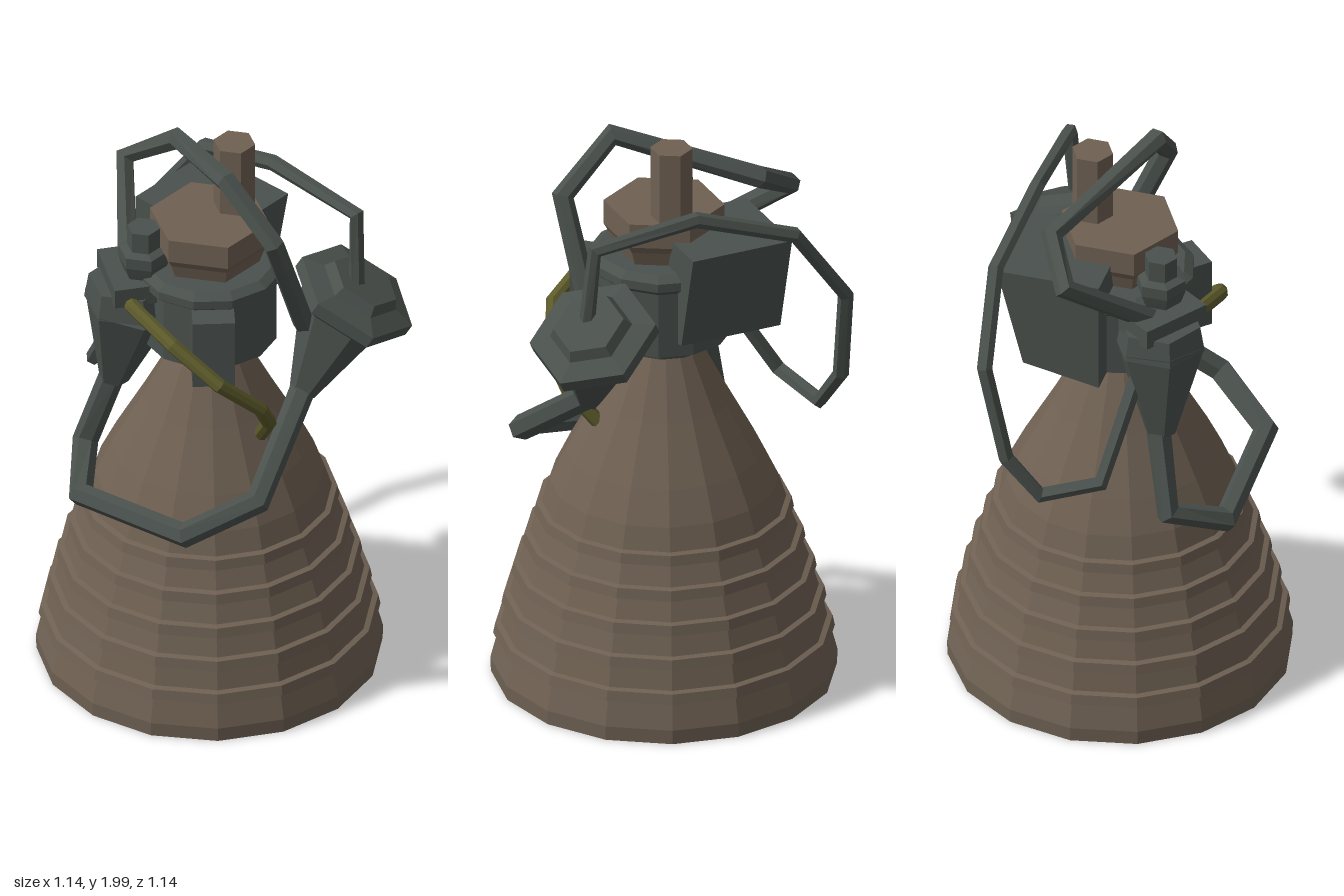
import * as THREE from 'three';

const V = (p) => new THREE.Vector3(...p);

// Polyline whose sampled rings sit exactly on its corners, mitred between legs
class Polyline extends THREE.Curve {
  constructor(points) {
    super();
    this.p = points.map(V);
  }
  getPoint(t) {
    const f = t * (this.p.length - 1);
    const i = Math.min(Math.floor(f + 1e-6), this.p.length - 2);
    return this.p[i].clone().lerp(this.p[i + 1], f - i);
  }
  getPointAt(t) { return this.getPoint(t); }
  getTangentAt(t) {
    const n = this.p.length - 1, i = Math.round(t * n), d = new THREE.Vector3();
    if (i > 0) d.add(this.p[i].clone().sub(this.p[i - 1]).normalize());
    if (i < n) d.add(this.p[i + 1].clone().sub(this.p[i]).normalize());
    return d.normalize();
  }
}

export function createModel() {
  const model = new THREE.Group();
  const material = (name, color) => {
    const m = new THREE.MeshStandardMaterial({ color, flatShading: true, side: THREE.DoubleSide });
    m.name = name;
    return m;
  };
  const brown = material('warm brown metal', 0x6f6153);
  const grey = material('dark grey metal', 0x4a514d);
  const olive = material('olive line', 0x5d5b2b);

  const add = (name, geometry, mat, pos = [0, 0, 0], parent = model) => {
    const mesh = new THREE.Mesh(geometry, mat);
    mesh.name = name;
    mesh.position.set(...pos);
    parent.add(mesh);
    return mesh;
  };
  const lathe = (profile, sides) =>
    new THREE.LatheGeometry(profile.map(([r, y]) => new THREE.Vector2(r, y)), sides);
  const pipe = (name, points, radius, mat, sides = 6) =>
    add(name, new THREE.TubeGeometry(new Polyline(points), points.length - 1, radius, sides), mat);
  // Tapered body between two points
  const taper = (name, from, to, r0, r1, sides) => {
    const a = V(from), d = V(to).sub(a);
    const mesh = add(name, new THREE.CylinderGeometry(r1, r0, d.length(), sides), grey);
    mesh.position.copy(a).addScaledVector(d, 0.5);
    mesh.quaternion.setFromUnitVectors(new THREE.Vector3(0, 1, 0), d.normalize());
    return mesh;
  };

  // Bell with five raised hoops
  const bell = [[0.57, 0], [0.572, 0.05]];
  [[0.55, 0.135], [0.522, 0.247], [0.49, 0.357], [0.453, 0.467], [0.415, 0.577]].forEach(([r, y]) => {
    bell.push([r, y], [r + 0.013, y + 0.005], [r + 0.006, y + 0.04], [r - 0.012, y + 0.045]);
  });
  bell.push([0.378, 0.7], [0.325, 0.81], [0.222, 1.0], [0.12, 1.2]);
  add('nozzle', lathe(bell, 16), brown);

  // Injector drum with collar and top ring
  add('drum', lathe([[0.12, 1.19], [0.16, 1.21], [0.165, 1.24], [0.225, 1.25], [0.225, 1.48],
    [0.25, 1.5], [0.25, 1.53], [0.22, 1.55], [0, 1.55]], 12), grey);

  // Hexagonal head and gimbal post
  add('head', lathe([[0.165, 1.54], [0.185, 1.6], [0.2, 1.625], [0.2, 1.71], [0, 1.71]], 6), brown);
  add('post', new THREE.CylinderGeometry(0.07, 0.07, 0.28, 6), brown, [0.02, 1.82, -0.1]);

  // Control housing with sloping back, profile in (-z, y)
  const side = new THREE.Shape(
    [[-0.02, 1.25], [0.24, 1.3], [0.33, 1.65], [-0.02, 1.65]].map(([u, y]) => new THREE.Vector2(u, y)));
  const housing = add('controlHousing',
    new THREE.ExtrudeGeometry(side, { depth: 0.36, bevelEnabled: false }), grey, [-0.31, 0, 0]);
  housing.rotation.y = Math.PI / 2;

  // Small box on the drum
  add('valveBox', new THREE.BoxGeometry(0.14, 0.25, 0.13), grey, [0.17, 1.36, 0.17]).rotation.y = Math.PI / 4;

  // Small pump
  taper('smallPumpCone', [-0.235, 1.06, 0.21], [-0.18, 1.38, 0.19], 0.05, 0.155, 6);
  taper('smallPumpShoulder', [-0.18, 1.38, 0.19], [-0.18, 1.47, 0.19], 0.155, 0.14, 6);
  add('smallPumpFlange', new THREE.BoxGeometry(0.25, 0.07, 0.15), grey, [-0.18, 1.485, 0.2]).rotation.y = -0.6;
  add('smallPumpNut', lathe([[0.06, 1.5], [0.075, 1.54], [0.085, 1.57], [0.085, 1.61], [0.055, 1.62],
    [0.055, 1.695], [0, 1.695]], 6), grey, [-0.13, 0, 0.18]);

  // Large tilted pump: flanged hexagonal cap on a tapering neck
  const cap = new THREE.Group();
  cap.name = 'largePumpCap';
  cap.position.set(0.385, 1.42, -0.28);
  cap.quaternion.setFromUnitVectors(new THREE.Vector3(0, 1, 0), V([0.42, 0.86, -0.28]).normalize());
  model.add(cap);
  add('capDisc', lathe([[0, -0.05], [0.17, -0.05], [0.215, -0.02], [0.215, 0.025], [0.14, 0.045],
    [0.12, 0.08], [0, 0.08]], 6), grey, [0, 0, 0], cap);
  taper('largePumpNeck', [0.32, 1.1, -0.1], [0.365, 1.38, -0.255], 0.045, 0.155, 6);

  // Pipework
  pipe('lowerDuct', [[-0.235, 1.1, 0.2], [-0.315, 0.8, 0.26], [-0.19, 0.72, 0.42], [0.27, 0.77, 0.42],
    [0.415, 0.87, 0.22], [0.32, 1.12, -0.11]], 0.043, grey);
  pipe('upperDuct', [[-0.2, 1.48, 0.18], [-0.43, 1.715, -0.06], [-0.28, 1.81, -0.15], [0.15, 1.955, 0.08],
    [0.34, 1.78, 0.06], [0.31, 1.36, -0.12]], 0.037, grey);
  pipe('sideLine', [[0.41, 1.46, -0.27], [0.39, 1.745, -0.29], [0.02, 1.78, -0.29], [-0.32, 1.67, -0.33],
    [-0.515, 1.4, -0.31], [-0.535, 1.07, -0.23], [-0.51, 0.925, -0.12], [-0.45, 0.97, 0.07],
    [-0.25, 1.3, 0.14]], 0.027, grey);
  pipe('oliveLine', [[-0.14, 1.47, 0.25], [-0.08, 1.455, 0.29], [0.12, 1.4, 0.31], [0.28, 1.29, 0.26],
    [0.345, 1.16, 0.13], [0.32, 1.06, 0.06], [0.22, 0.93, 0]], 0.025, olive, 8);

  return model;
}
